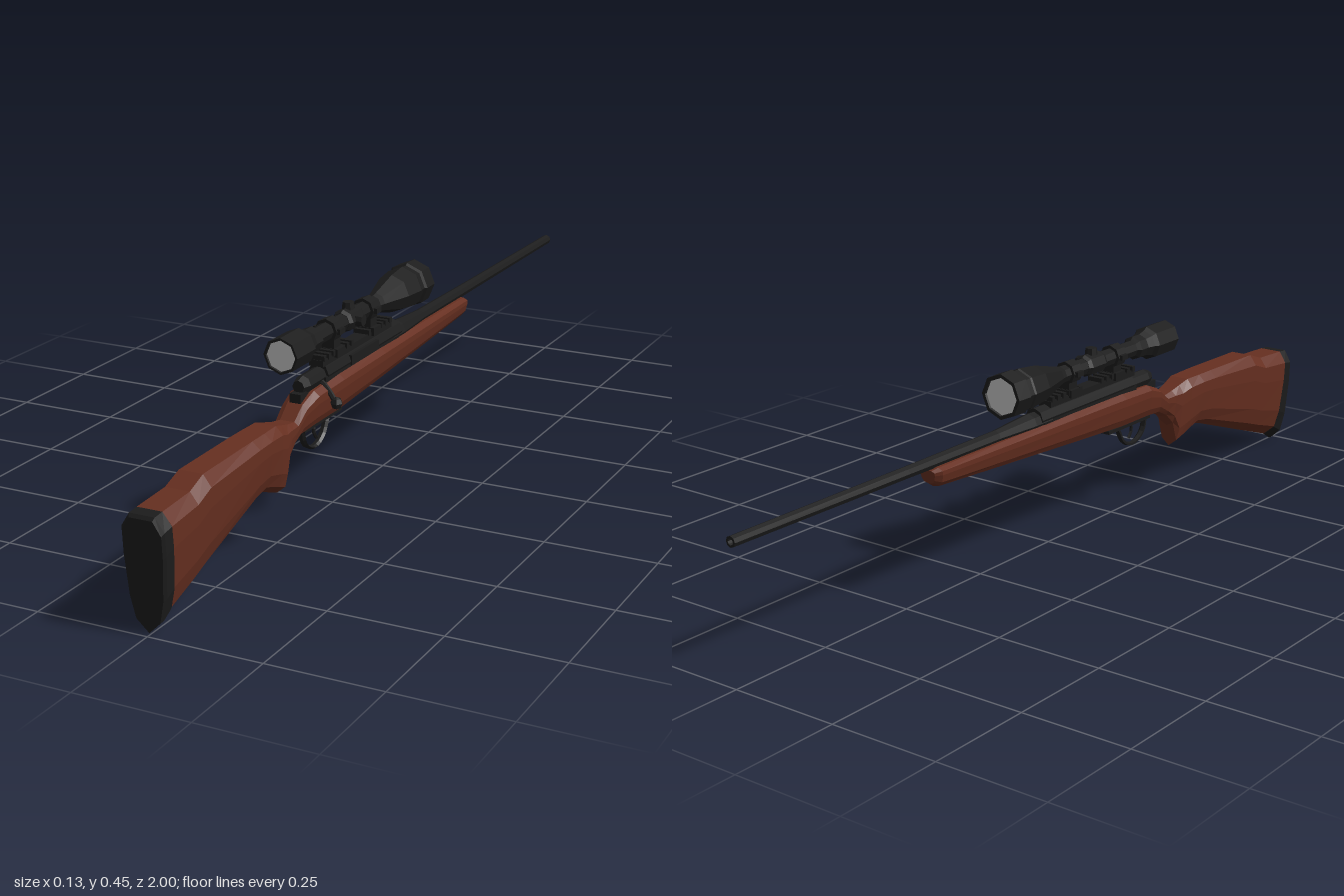
import * as THREE from 'three';

const CX = -0.005; // centre plane of the rifle
const mat = (color) => new THREE.MeshStandardMaterial({ color, flatShading: true, side: THREE.DoubleSide });
const wood = mat(0x662f20), black = mat(0x1c1c1c), glass = mat(0xcccccc);

// Half outline of the stock from keel to comb: [share of half width, share of height]
const HALF = [[0, 0], [0.62, 0.11], [0.86, 0.31], [1, 0.68], [1, 0.88], [0.6, 1]];
const RING = [...HALF, ...HALF.slice(1).reverse().map(([x, t]) => [-x, t])];

// Skin over sections [z at bottom, z at top, bottom, top, half width], z rising
function loft(sections) {
  const pos = [], idx = [], n = RING.length;
  for (const [zb, zt, yb, yt, w] of sections)
    for (const [x, t] of RING) pos.push(x * w, yb + (yt - yb) * t, zb + (zt - zb) * t);
  for (let i = 0; i < sections.length - 1; i++)
    for (let j = 0; j < n; j++) {
      const a = i * n + j, b = i * n + (j + 1) % n;
      idx.push(a, b, a + n, b, b + n, a + n);
    }
  const last = (sections.length - 1) * n;
  for (let j = 1; j < n - 1; j++) idx.push(0, j + 1, j, last, last + j, last + j + 1);
  const g = new THREE.BufferGeometry();
  g.setAttribute('position', new THREE.Float32BufferAttribute(pos, 3));
  g.setIndex(idx);
  g.computeVertexNormals();
  return g;
}

// Turned part along z from [radius, z] pairs, z rising
function turned(profile, sides = 8) {
  return new THREE.LatheGeometry(profile.map(([r, z]) => new THREE.Vector2(r, z)), sides).rotateX(Math.PI / 2);
}

export function createModel() {
  const root = new THREE.Group();
  const add = (name, geo, material, x = 0, y = 0, z = 0, parent = root) => {
    const m = new THREE.Mesh(geo, material);
    m.name = name;
    m.position.set(x + (parent === root ? CX : 0), y, z);
    parent.add(m);
    return m;
  };
  const box = (name, w, h, d, x, y, z, parent) =>
    add(name, new THREE.BoxGeometry(w, h, d), black, x, y, z, parent);

  // Wooden stock from fore-end to butt, with pistol grip and raised comb
  add('stock', loft([
    [-0.425, -0.43, 0.264, 0.295, 0.02],
    [-0.41, -0.415, 0.254, 0.3, 0.03],
    [-0.2, -0.2, 0.241, 0.302, 0.034],
    [0.05, 0.05, 0.226, 0.304, 0.038],
    [0.25, 0.25, 0.214, 0.303, 0.038],
    [0.36, 0.36, 0.213, 0.298, 0.035],
    [0.415, 0.405, 0.211, 0.28, 0.03],
    [0.45, 0.44, 0.195, 0.253, 0.028],
    [0.477, 0.47, 0.165, 0.258, 0.03],
    [0.488, 0.5, 0.11, 0.266, 0.034],
    [0.52, 0.53, 0.122, 0.275, 0.04],
    [0.575, 0.58, 0.143, 0.275, 0.043],
    [0.62, 0.63, 0.135, 0.275, 0.044],
    [0.82, 0.82, 0.066, 0.272, 0.045],
    [0.865, 0.87, 0.051, 0.254, 0.046],
    [0.948, 0.968, 0.023, 0.249, 0.047],
  ]), wood);
  add('buttPad', loft([
    [0.948, 0.968, 0.021, 0.249, 0.047],
    [0.975, 0.994, 0.005, 0.247, 0.047],
    [0.985, 1.0, 0.003, 0.24, 0.043],
  ]), black);

  // Barrel and action
  add('barrel', turned([
    [0, -0.98], [0.007, -0.98], [0.007, -1], [0.012, -1], [0.0135, -0.5],
    [0.016, -0.2], [0.024, -0.08], [0.024, -0.02], [0, -0.02],
  ]), black, 0, 0.308);
  add('receiver', turned([[0, -0.06], [0.025, -0.06], [0.025, 0.3], [0, 0.3]]), black, 0, 0.315);
  box('receiverFloor', 0.046, 0.03, 0.36, 0, 0.298, 0.13);
  box('tang', 0.026, 0.02, 0.12, 0, 0.291, 0.345);
  add('boltShroud', turned([[0, 0.29], [0.02, 0.29], [0.02, 0.37], [0.014, 0.39], [0, 0.39]]), black, 0, 0.312);
  box('ejectionPort', 0.008, 0.022, 0.13, 0.023, 0.318, 0.13);

  // Bolt handle, angled down on the +x side
  const handle = new THREE.CatmullRomCurve3([[0.008, 0.31, 0.315], [0.03, 0.293, 0.318], [0.054, 0.267, 0.325]]
    .map((p) => new THREE.Vector3(...p)));
  add('boltHandle', new THREE.TubeGeometry(handle, 3, 0.006, 6), black);
  add('boltKnob', new THREE.SphereGeometry(0.014, 6, 4), black, 0.056, 0.265, 0.325);

  // Trigger guard and trigger
  const guard = new THREE.CatmullRomCurve3([[0.22, 0.255], [0.205, 0.267], [0.175, 0.285], [0.159, 0.315],
    [0.163, 0.345], [0.183, 0.37], [0.215, 0.378]].map(([y, z]) => new THREE.Vector3(0, y, z)));
  add('triggerGuard', new THREE.TubeGeometry(guard, 14, 0.0045, 5), black).scale.x = 1.8;
  box('guardPlate', 0.024, 0.008, 0.17, 0, 0.213, 0.3);
  const trigger = new THREE.CatmullRomCurve3([[0.215, 0.318], [0.193, 0.324], [0.174, 0.312]]
    .map(([y, z]) => new THREE.Vector3(0, y, z)));
  add('trigger', new THREE.TubeGeometry(trigger, 5, 0.004, 5), black);

  // Toothed rail on top of the receiver
  box('rail', 0.034, 0.014, 0.33, 0, 0.341, 0.145);
  for (let i = 0; i < 16; i++) {
    if (i === 6 || i === 7 || i === 8) continue; // bare bridge above the port
    box('railTooth', 0.038, 0.012, 0.011, 0, 0.352, -0.012 + i * 0.021);
  }

  // Scope: closed body, lenses, turrets and mounts
  const scope = new THREE.Group();
  scope.name = 'scope';
  scope.position.set(-0.01, 0.397, 0);
  root.add(scope);
  add('scopeBody', turned([
    [0, -0.178], [0.042, -0.178], [0.044, -0.186], [0.052, -0.186], [0.053, -0.145], [0.048, -0.14],
    [0.048, -0.125], [0.05, -0.12], [0.044, -0.065], [0.023, 0.015], [0.02, 0.03], [0.02, 0.31],
    [0.028, 0.318], [0.028, 0.345], [0.033, 0.365], [0.04, 0.375], [0.04, 0.455],
    [0.035, 0.455], [0.034, 0.448], [0, 0.448],
  ]), black, 0, 0, 0, scope);
  const lens = (name, r, z, turn) => {
    const m = add(name, new THREE.CircleGeometry(r, 8), glass, 0, 0, z, scope);
    m.rotation.y = turn;
  };
  lens('eyepieceLens', 0.034, 0.451, 0);
  lens('objectiveLens', 0.043, -0.181, Math.PI);

  // Turret block with top and side caps
  add('turretBlock', turned([[0, 0.115], [0.021, 0.115], [0.026, 0.125], [0.026, 0.175], [0.021, 0.185], [0, 0.185]]),
    black, 0, 0, 0, scope);
  const cap = () => new THREE.CylinderGeometry(0.013, 0.015, 0.016, 8);
  add('elevationCap', cap(), black, 0, 0.03, 0.15, scope);
  add('windageCap', cap().rotateZ(-Math.PI / 2), black, 0.03, 0, 0.15, scope);

  // Two ring mounts clamped to the rail
  for (const z of [0.24, 0.065]) {
    add('mountRing', turned([[0, z - 0.016], [0.027, z - 0.016], [0.027, z + 0.016], [0, z + 0.016]]),
      black, 0, 0, 0, scope);
    box('mountPost', 0.03, 0.04, 0.03, 0.004, -0.034, z, scope);
    box('mountClamp', 0.048, 0.018, 0.034, 0.005, -0.047, z, scope);
    for (const s of [-1, 1]) box('ringScrew', 0.012, 0.012, 0.024, s * 0.027, 0, z, scope);
  }
  return root;
}
